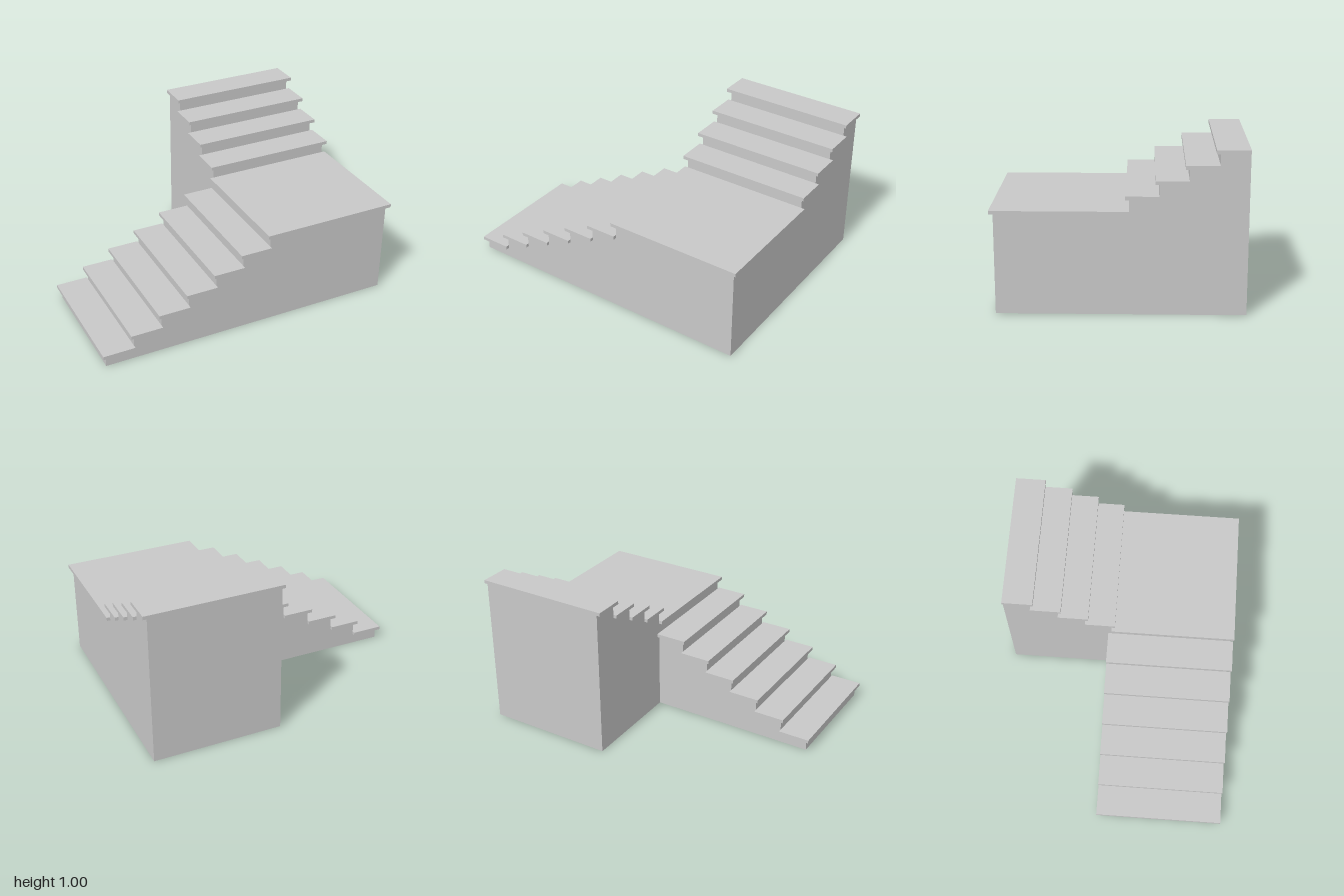
import * as THREE from 'three';

const RISE = 1 / 11;      // height of one step
const THICK = 0.022;      // tread thickness
const NOSE = 0.023;       // tread overhang
const LOWER = 6, UPPER = 4;
const X0 = -0.977, X1 = 0.977, XC = 0.132;    // lower start, outer side, corner
const Z0 = 0.728, Z1 = -0.751, ZC = -0.059;   // front, back, corner
const RUN_X = (XC - X0) / LOWER;
const RUN_Z = (ZC - Z1) / UPPER;

export function createModel() {
  const model = new THREE.Group();
  model.name = 'staircase';
  const grey = new THREE.MeshStandardMaterial({ color: 0xc8c8c8 });
  grey.name = 'lightGrey';

  const add = (geometry, name) => {
    const mesh = new THREE.Mesh(geometry, grey);
    mesh.name = name;
    model.add(mesh);
    return mesh;
  };

  // Slab whose top sits at the given step number
  const tread = (name, xa, xb, za, zb, step) => {
    const slab = add(new THREE.BoxGeometry(xb - xa, THICK, zb - za), name);
    slab.position.set((xa + xb) / 2, step * RISE - THICK / 2, (za + zb) / 2);
  };

  // Solid from a side profile
  const solid = (points, depth, name) => {
    const shape = new THREE.Shape(points.map(([a, b]) => new THREE.Vector2(a, b)));
    return add(new THREE.ExtrudeGeometry(shape, { depth, bevelEnabled: false }), name);
  };

  // Lower flight, climbing towards +x
  const lower = [[XC, 0], [X0, 0]];
  for (let i = 0; i < LOWER; i++) {
    const x = X0 + i * RUN_X;
    const y = (i + 1) * RISE - THICK;
    lower.push([x, y], [x + RUN_X, y]);
    tread(`lowerTread${i + 1}`, x - NOSE, x + RUN_X, ZC - NOSE, Z0 + NOSE, i + 1);
  }
  solid(lower, Z0 - ZC, 'lowerBody').position.z = ZC;

  // Landing slab
  tread('landing', XC - NOSE, X1 + NOSE, ZC, Z0 + NOSE, LOWER + 1);

  // Landing block and upper flight, climbing towards -z (profile uses -z as its first axis)
  const landingY = (LOWER + 1) * RISE - THICK;
  const upper = [[-Z1, 0], [-Z0, 0], [-Z0, landingY], [-ZC, landingY]];
  for (let i = 0; i < UPPER; i++) {
    const z = ZC - i * RUN_Z;
    const step = LOWER + 2 + i;
    const y = step * RISE - THICK;
    upper.push([-z, y], [-z + RUN_Z, y]);
    tread(`upperTread${i + 1}`, XC - NOSE, X1 + NOSE, z - RUN_Z, z + NOSE, step);
  }
  const upperBody = solid(upper, X1 - XC, 'upperBody');
  upperBody.rotation.y = Math.PI / 2;
  upperBody.position.x = XC;

  return model;
}
